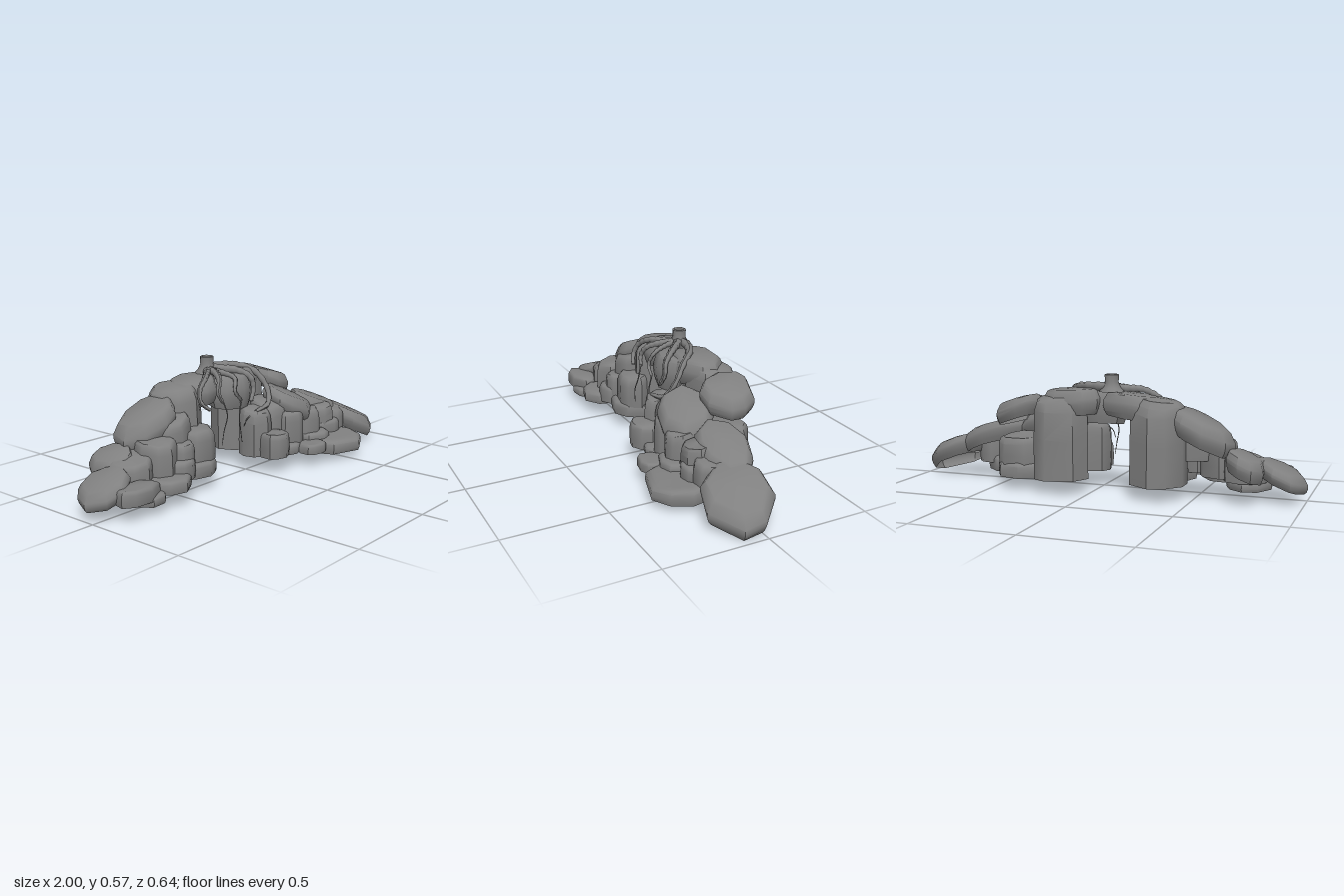
import * as THREE from 'three';
import { toCreasedNormals } from 'three/addons/utils/BufferGeometryUtils.js';

const stone = new THREE.MeshStandardMaterial({ color: 0x808080, side: THREE.DoubleSide });

function seeded(seed) {
  let s = seed * 7919 + 17;
  return () => (s = (s * 16807) % 2147483647) / 2147483647;
}

// Ring profiles as [height, radius]: rocks and slabs are shells left open below.
const PROFILES = {
  block: [[0, 0.97], [0.3, 1], [0.75, 0.98], [0.91, 0.92], [0.98, 0.83], [1, 0.74]],
  pillar: [[0, 1], [0.5, 0.99], [0.84, 0.96], [0.94, 0.86], [1, 0.7]],
  slab: [[0, 0.87], [0.2, 0.95], [0.45, 1], [0.62, 0.99], [0.92, 0.86], [1, 0.75]],
};

// Irregular polygon lofted through a profile; slopeX and slopeZ lean the top (slabs lean whole).
function rockGeometry(kind, x, z, rx, rz, y0, y1, slopeX, slopeZ, seed) {
  const rnd = seeded(seed), n = 8 + (seed % 2), profile = PROFILES[kind];
  const corners = [];
  const turn = rnd() * 0.8;
  for (let i = 0; i < n; i++) {
    const a = ((i + (rnd() - 0.5) * 0.45) / n) * Math.PI * 2 + turn;
    const r = 0.98 + rnd() * 0.09;
    corners.push([Math.cos(a) * r, Math.sin(a) * r, (rnd() - 0.5) * 0.08]);
  }
  const pos = [], index = [];
  const add = (u, v, t) => {
    const lean = kind === 'slab' ? 1 : t;
    pos.push(x + u * rx, y0 + (y1 - y0) * t + lean * (slopeX * u * rx + slopeZ * v * rz), z + v * rz);
  };
  profile.forEach(([t, r], k) => corners.forEach(([u, v, j]) => {
    add(u * r, v * r, t + (k > 0 && k < profile.length - 1 ? j : 0));
  }));
  add(0, 0, 1.02);
  const top = profile.length - 1;
  for (let k = 0; k <= top; k++) for (let i = 0; i < n; i++) {
    const a = k * n + i, b = k * n + ((i + 1) % n);
    if (k === top) index.push(a, (top + 1) * n, b);
    else index.push(a, a + n, b, b, a + n, b + n);
  }
  const g = new THREE.BufferGeometry();
  g.setAttribute('position', new THREE.Float32BufferAttribute(pos, 3));
  g.setIndex(index);
  return toCreasedNormals(g, 0.8);
}

// Tapering, slightly knotted tube through a few points.
function rootGeometry(points, r0, r1, segs = 36, sides = 7) {
  const curve = new THREE.CatmullRomCurve3(points.map(p => new THREE.Vector3(...p)));
  const g = new THREE.TubeGeometry(curve, segs, 1, sides);
  const p = g.attributes.position, v = new THREE.Vector3();
  for (let i = 0; i < p.count; i++) {
    const k = Math.floor(i / (sides + 1)), t = k / segs, c = curve.getPointAt(t);
    const r = (r0 + (r1 - r0) * t) * (1 + 0.12 * Math.sin(k * 1.9) + 0.1 * Math.sin((i % (sides + 1)) / sides * Math.PI * 4));
    v.fromBufferAttribute(p, i).sub(c).multiplyScalar(r).add(c);
    p.setXYZ(i, v.x, v.y, v.z);
  }
  g.computeVertexNormals();
  return g;
}

// Each row: x, z, radiusX, radiusZ, bottom, top, slopeX, slopeZ
const ROCKS = {
  pillar: [
    [-0.335, -0.17, 0.135, 0.135, 0.07, 0.465, 0.12, 0],
    [0.155, -0.195, 0.14, 0.13, 0.07, 0.47, -0.12, 0.15],
  ],
  // sloping slabs running over the arch, from one end to the other
  slab: [
    [-0.89, -0.05, 0.11, 0.12, 0.085, 0.165, 0.42, 0],
    [-0.74, -0.16, 0.09, 0.11, 0.13, 0.23, 0.4, 0],
    [-0.53, -0.15, 0.155, 0.13, 0.27, 0.39, 0.45, 0],
    [-0.21, -0.155, 0.15, 0.115, 0.37, 0.485, 0.1, -0.05],
    [-0.01, -0.095, 0.14, 0.095, 0.33, 0.49, 0, -0.12],
    [0.09, -0.16, 0.15, 0.12, 0.38, 0.5, -0.05, 0],
    [0.37, -0.165, 0.12, 0.125, 0.34, 0.44, -0.32, -0.1],
    [0.31, 0.025, 0.15, 0.125, 0.25, 0.35, -0.35, -0.3],
    [0.6, -0.015, 0.175, 0.11, 0.17, 0.275, -0.32, -0.25],
    [0.825, 0.05, 0.175, 0.145, 0.07, 0.175, -0.38, -0.25],
  ],
  // standing rocks below the slabs
  block: [
    [-0.72, -0.06, 0.11, 0.1, 0.09, 0.22, 0.2, -0.1],
    [-0.59, -0.03, 0.09, 0.1, 0.1, 0.28, 0.1, -0.1],
    [-0.47, 0, 0.07, 0.07, 0.11, 0.25, 0, -0.1],
    [-0.46, -0.07, 0.11, 0.09, 0.18, 0.35, 0.2, -0.1],
    [-0.34, -0.02, 0.1, 0.08, 0.12, 0.285, 0, -0.1],
    [0.05, 0.02, 0.08, 0.08, 0.08, 0.31, 0, -0.2],
    [0.18, 0, 0.1, 0.1, 0.1, 0.33, 0, -0.2],
    [0.25, 0.07, 0.085, 0.08, 0.08, 0.28, 0, -0.1],
    [0.38, 0.085, 0.08, 0.075, 0.08, 0.265, 0, -0.1],
    [0.52, 0.075, 0.08, 0.075, 0.08, 0.255, 0, -0.1],
    [0.63, 0.06, 0.08, 0.085, 0.08, 0.22, -0.1, -0.1],
    [0.37, -0.16, 0.115, 0.1, 0.12, 0.26, 0, 0.1],
    [0.37, -0.16, 0.125, 0.105, 0.06, 0.135, 0, 0],
  ],
  // low stones lying along the front
  footStone: [
    [-0.81, 0.075, 0.12, 0.07, 0.075, 0.145, 0, 0],
    [-0.735, 0, 0.105, 0.15, 0.05, 0.095, 0, 0],
    [-0.6, 0.05, 0.11, 0.1, 0.07, 0.13, 0, 0],
    [-0.5, 0.045, 0.07, 0.05, 0.09, 0.18, 0, 0],
    [-0.355, -0.02, 0.12, 0.1, 0.07, 0.14, 0, 0],
    [0.08, 0.12, 0.08, 0.07, 0.08, 0.2, 0, 0],
    [0.2, 0.08, 0.1, 0.09, 0.07, 0.12, 0, 0],
    [0.3, 0.195, 0.075, 0.065, 0.065, 0.115, 0, 0],
    [0.4, 0.12, 0.1, 0.08, 0.07, 0.145, 0, 0],
    [0.515, 0.13, 0.175, 0.185, 0.04, 0.115, 0, -0.05],
    [0.54, 0.1, 0.09, 0.07, 0.1, 0.18, 0, -0.1],
  ],
};

// Roots: [start radius, end radius, points]
const ROOTS = [
  [0.02, 0.009, [[-0.1, 0.51, -0.165], [-0.16, 0.505, -0.11], [-0.23, 0.495, -0.06], [-0.3, 0.45, -0.03], [-0.31, 0.4, -0.01], [-0.27, 0.36, 0.01]]],
  [0.02, 0.008, [[-0.1, 0.51, -0.16], [-0.13, 0.505, -0.08], [-0.17, 0.48, -0.02], [-0.2, 0.43, 0], [-0.18, 0.38, 0.01]]],
  [0.024, 0.009, [[-0.1, 0.515, -0.165], [-0.05, 0.51, -0.12], [0.01, 0.5, -0.06], [0.05, 0.465, -0.01], [0.06, 0.41, 0], [0.03, 0.35, 0.01]]],
  [0.022, 0.009, [[-0.1, 0.515, -0.17], [-0.02, 0.515, -0.165], [0.07, 0.51, -0.13], [0.135, 0.48, -0.06], [0.165, 0.4, 0], [0.13, 0.33, 0.04], [0.02, 0.305, 0.05]]],
  [0.016, 0.007, [[-0.1, 0.51, -0.16], [-0.09, 0.505, -0.09], [-0.07, 0.48, -0.01], [-0.09, 0.42, 0.01], [-0.05, 0.37, 0.015]]],
];

const VINES = [
  [[-0.18, 0.39, 0.01], [-0.17, 0.32, 0.03], [-0.2, 0.25, 0.035], [-0.21, 0.18, 0.03]],
  [[-0.05, 0.37, 0.015], [-0.07, 0.29, 0.02], [-0.06, 0.22, 0.02], [-0.05, 0.16, 0.02]],
  [[0.02, 0.3, 0.05], [-0.03, 0.28, 0.04], [-0.05, 0.24, 0.03]],
];

export function createModel() {
  const group = new THREE.Group();
  const add = (name, geometry) => {
    const mesh = new THREE.Mesh(geometry, stone);
    mesh.name = name;
    group.add(mesh);
  };

  let seed = 1;
  for (const [name, rows] of Object.entries(ROCKS)) {
    const kind = PROFILES[name] ? name : 'block';
    rows.forEach((row, i) => add(`${name}${i + 1}`, rockGeometry(kind, ...row, seed++)));
  }

  // Cut stump with a flared foot and hollowed top
  const profile = [[0.06, 0], [0.042, 0.02], [0.032, 0.045], [0.034, 0.08], [0.026, 0.083], [0.022, 0.074], [0, 0.073]];
  const stump = new THREE.LatheGeometry(profile.map(p => new THREE.Vector2(...p)), 10);
  stump.translate(-0.1, 0.493, -0.165);
  add('stump', toCreasedNormals(stump, 0.8));

  ROOTS.forEach(([r0, r1, pts], i) => add(`root${i + 1}`, rootGeometry(pts, r0, r1)));
  VINES.forEach((pts, i) => add(`hangingVine${i + 1}`, rootGeometry(pts, 0.004, 0.0015, 16, 5)));
  return group;
}
